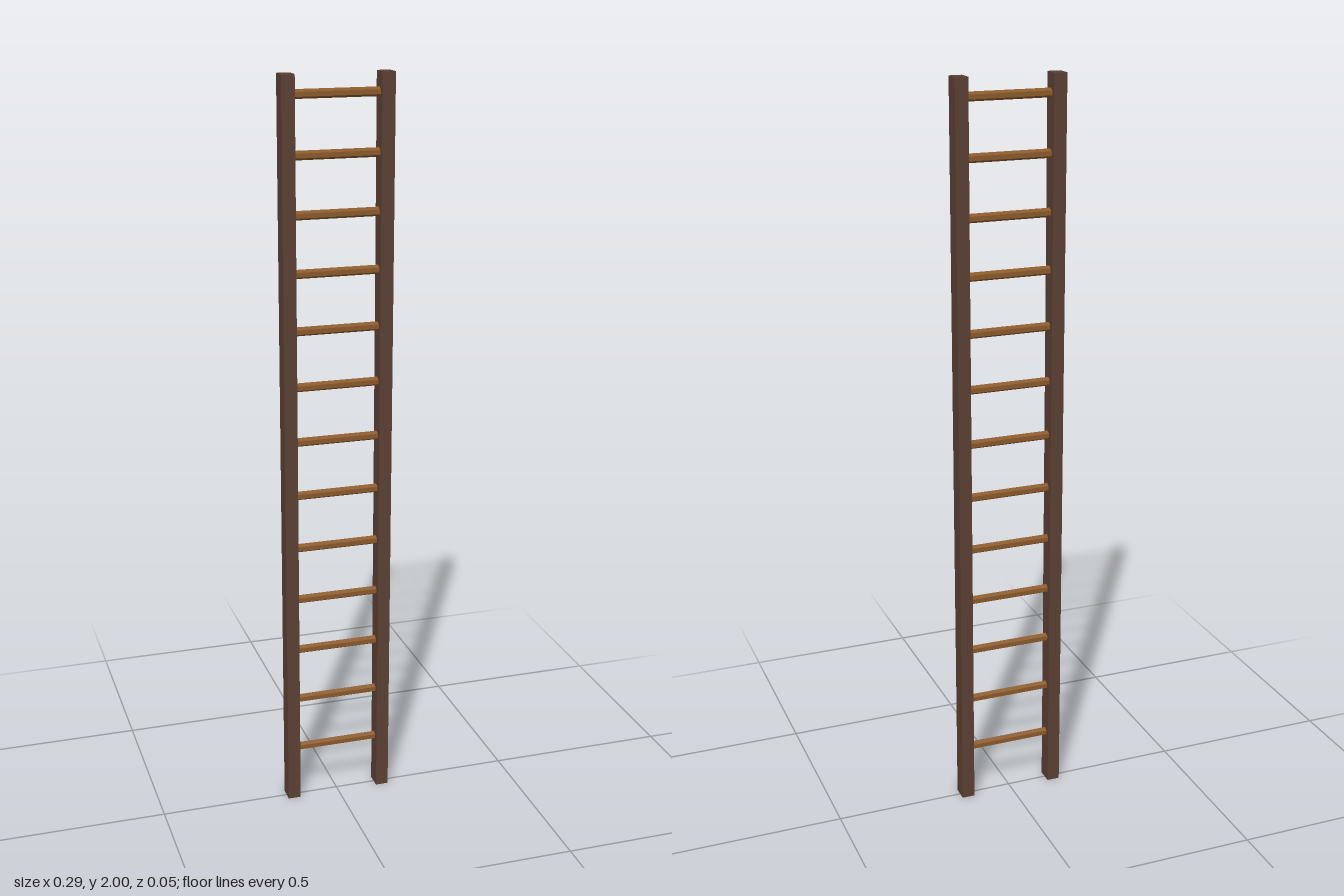
import * as THREE from 'three';

export function createModel() {
  const railWood = new THREE.MeshStandardMaterial({ color: 0x5c4033 });
  railWood.name = 'dark brown wood';
  const rungWood = new THREE.MeshStandardMaterial({ color: 0x8b5a2b });
  rungWood.name = 'light brown wood';
  rungWood.flatShading = true;

  const ladder = new THREE.Group();
  ladder.name = 'ladder';

  // Two square side rails
  const railGeometry = new THREE.BoxGeometry(0.035, 2, 0.045);
  for (const side of [-1, 1]) {
    const rail = new THREE.Mesh(railGeometry, railWood);
    rail.name = side > 0 ? 'leftRail' : 'rightRail';
    rail.position.set(side * 0.13, 1, 0);
    ladder.add(rail);
  }

  // Evenly spaced six-sided rungs, each with an edge on top
  const rungGeometry = new THREE.CylinderGeometry(0.012, 0.012, 0.24, 6, 1, false, Math.PI / 2);
  rungGeometry.rotateZ(Math.PI / 2);
  for (let i = 1; i <= 13; i++) {
    const rung = new THREE.Mesh(rungGeometry, rungWood);
    rung.name = `rung${i}`;
    rung.position.y = i * 0.15;
    ladder.add(rung);
  }

  return ladder;
}
